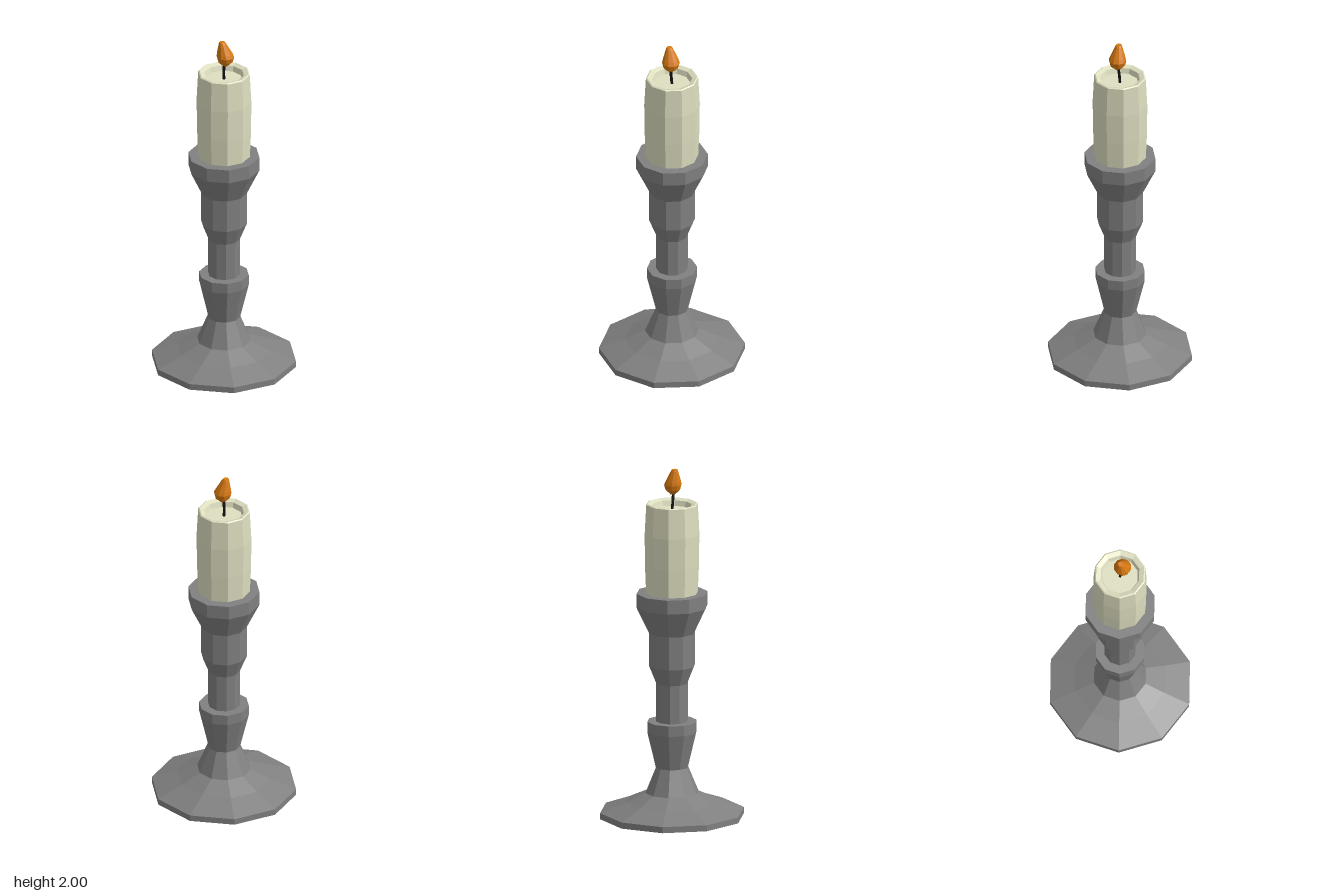
import * as THREE from 'three';

const SIDES = 10;

const material = (color) => new THREE.MeshStandardMaterial({ color, flatShading: true });

// Ten-sided turned solid; profile is [radius, height] from bottom to top
function turned(name, profile, color) {
  const points = profile.map(([r, y]) => new THREE.Vector2(r, y));
  const mesh = new THREE.Mesh(new THREE.LatheGeometry(points, SIDES), material(color));
  mesh.name = name;
  return mesh;
}

export function createModel() {
  const group = new THREE.Group();
  group.name = 'candlestick';

  // Wide foot, stepped stem and flared cup
  group.add(turned('holder', [
    [0, 0], [0.41, 0], [0.41, 0.035], [0.265, 0.088], [0.152, 0.14],
    [0.092, 0.285], [0.141, 0.49], [0.141, 0.55], [0.09, 0.55], [0.09, 0.77],
    [0.13, 0.87], [0.13, 1.06], [0.202, 1.21], [0.202, 1.29], [0, 1.29],
  ], 0x808080));

  // Slightly bulging candle with a melted hollow in the top
  group.add(turned('candle', [
    [0.147, 1.28], [0.154, 1.45], [0.156, 1.63], [0.147, 1.8],
    [0.14, 1.805], [0.113, 1.795], [0.104, 1.765], [0, 1.765],
  ], 0xdedec0));

  // Bent wick
  const path = new THREE.CatmullRomCurve3([
    new THREE.Vector3(0, 1.76, 0),
    new THREE.Vector3(-0.002, 1.81, 0.004),
    new THREE.Vector3(0.001, 1.87, 0.012),
  ]);
  const wick = new THREE.Mesh(new THREE.TubeGeometry(path, 4, 0.008, 6), material(0x111111));
  wick.name = 'wick';
  group.add(wick);

  // Flame, its tip leaning to one side
  const flame = turned('flame', [
    [0, 1.85], [0.012, 1.853], [0.042, 1.88], [0.05, 1.91],
    [0.044, 1.93], [0.021, 1.99], [0.016, 2.0], [0, 2.0],
  ], 0xd87a10);
  const pos = flame.geometry.attributes.position;
  for (let i = 0; i < pos.count; i++) {
    const lean = Math.max(0, (pos.getY(i) - 1.91) / 0.09);
    pos.setX(i, pos.getX(i) + 0.006 - 0.018 * lean);
    pos.setZ(i, pos.getZ(i) + 0.013 - 0.004 * lean);
  }
  flame.geometry.computeVertexNormals();
  group.add(flame);

  return group;
}
